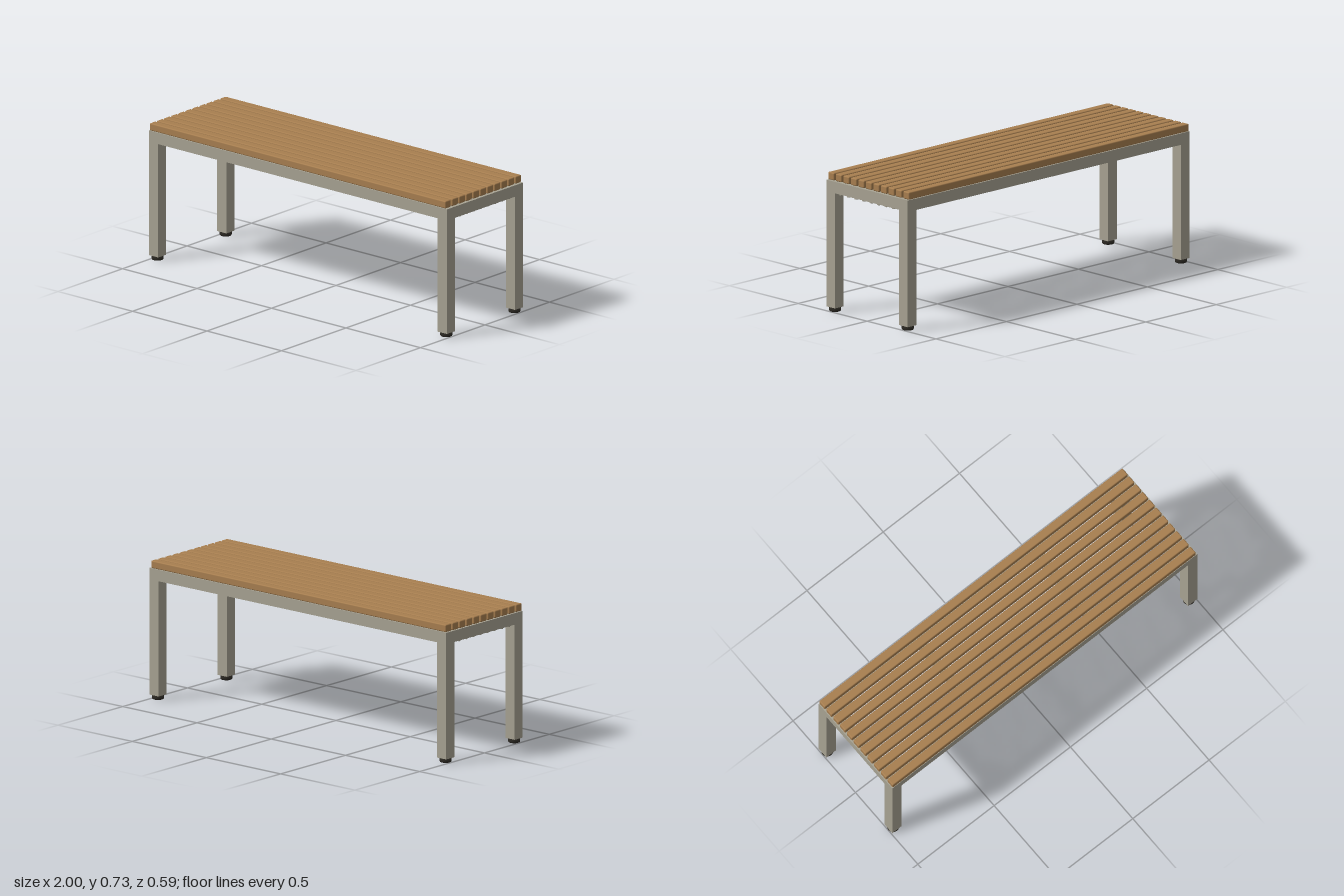
import * as THREE from 'three';
import { RoundedBoxGeometry } from 'three/addons/geometries/RoundedBoxGeometry.js';

const material = (name, color) => {
  const m = new THREE.MeshStandardMaterial({ color });
  m.name = name;
  return m;
};

export function createModel() {
  const bench = new THREE.Group();
  bench.name = 'bench';
  const wood = material('wood', 0xa87f50);
  const metal = material('paintedMetal', 0xa8a393);
  const rubber = material('rubber', 0x2a2721);

  const add = (name, geometry, mat, x, y, z) => {
    const mesh = new THREE.Mesh(geometry, mat);
    mesh.name = name;
    mesh.position.set(x, y, z);
    bench.add(mesh);
    return mesh;
  };

  const T = 0.062;                 // square tube thickness
  const legX = 1 - T / 2, legZ = 0.295 - T / 2;
  const railTop = 0.687, railBottom = 0.627;
  const railH = railTop - railBottom, railY = (railTop + railBottom) / 2;
  const innerX = 1 - T, innerZ = 0.295 - T;
  const footH = 0.023;
  const pitch = 0.0545;            // slat spacing

  // Seat slats
  const slat = new RoundedBoxGeometry(1.987, 0.039, 0.044, 2, 0.006);
  for (let i = -5; i <= 5; i++) add('seatSlat', slat, wood, -0.003, 0.7075, i * pitch);

  // Legs, round feet and corner gussets
  const leg = new THREE.BoxGeometry(T, railTop - footH, T);
  const foot = new THREE.LatheGeometry(
    [[0, 0], [0.025, 0], [0.029, 0.002], [0.031, 0.006], [0.031, footH], [0, footH]]
      .map(([x, y]) => new THREE.Vector2(x, y)), 24);
  foot.computeVertexNormals();
  const G = 0.11;
  const triangle = new THREE.Shape([[0, 0], [G, 0], [0, G]].map(([x, y]) => new THREE.Vector2(x, y)));
  const gusset = new THREE.ExtrudeGeometry(triangle, { depth: railH, bevelEnabled: false });
  gusset.rotateX(Math.PI / 2);     // corner at origin, spreading to +x and +z, hanging down
  const turns = { '-1,-1': 0, '-1,1': 1, '1,1': 2, '1,-1': 3 };
  for (const sx of [-1, 1]) for (const sz of [-1, 1]) {
    add('leg', leg, metal, sx * legX, (railTop + footH) / 2, sz * legZ);
    add('foot', foot, rubber, sx * legX, 0, sz * legZ);
    add('cornerGusset', gusset, metal, sx * innerX, railTop, sz * innerZ)
      .rotation.y = turns[`${sx},${sz}`] * Math.PI / 2;
  }

  // Frame rails and cross bars
  const longRail = new THREE.BoxGeometry(2 * innerX, railH, T);
  const endRail = new THREE.BoxGeometry(T, railH, 2 * innerZ);
  const crossBar = new THREE.BoxGeometry(0.04, railH, 2 * innerZ);
  const barXs = [-0.387, 0.382];
  for (const s of [-1, 1]) {
    add('longRail', longRail, metal, 0, railY, s * legZ);
    add('endRail', endRail, metal, s * legX, railY, 0);
  }
  for (const x of barXs) add('crossBar', crossBar, metal, x, railY, 0);

  // Bolt heads under the end rails and cross bars
  const bolt = new THREE.CylinderGeometry(0.009, 0.009, 0.013, 6).toNonIndexed();
  bolt.computeVertexNormals();
  for (const x of [-legX, ...barXs, legX])
    for (let i = -4; i <= 4; i++) add('bolt', bolt, metal, x, railBottom - 0.0065, i * pitch);

  return bench;
}
